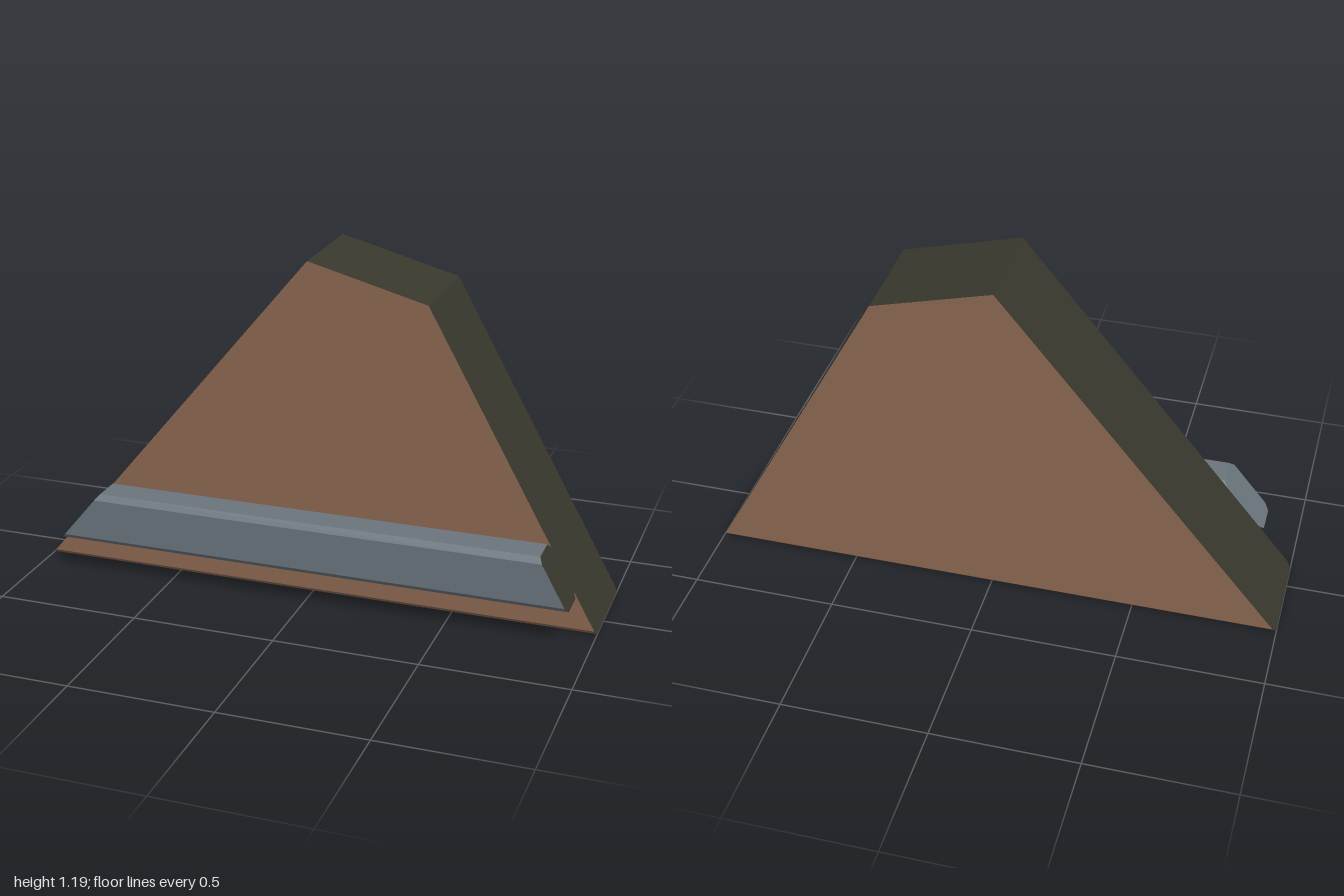
import * as THREE from 'three';

// Sloping cut lines that trim every part at its two ends
const leftCut = (y) => -1 + y * 0.828;
const rightCut = (y) => 1 - y * 0.556;

// Sweeps a cross-section along x between the two cuts.
// Each section point is [z, y at left, y at right, material of the strip that starts here].
function cutBeam(section, leftMat, rightMat) {
  const left = section.map(([z, y]) => [leftCut(y), y, z]);
  const right = section.map(([z, , y]) => [rightCut(y), y, z]);
  const positions = [];
  const geometry = new THREE.BufferGeometry();
  const addFace = (corners, material) => {
    const start = positions.length / 3;
    for (let i = 1; i < corners.length - 1; i++) {
      positions.push(...corners[0], ...corners[i], ...corners[i + 1]);
    }
    geometry.addGroup(start, positions.length / 3 - start, material);
  };
  section.forEach((point, i) => {
    const j = (i + 1) % section.length;
    addFace([left[i], left[j], right[j], right[i]], point[3]);
  });
  addFace([...left].reverse(), leftMat);
  addFace(right, rightMat);
  geometry.setAttribute('position', new THREE.Float32BufferAttribute(positions, 3));
  geometry.computeVertexNormals();
  return geometry;
}

export function createModel() {
  const brown = new THREE.MeshStandardMaterial({ name: 'brown panel', color: 0x8a6750 });
  const steel = new THREE.MeshStandardMaterial({ name: 'blue grey trim', color: 0x6a747c });
  const dark = new THREE.MeshStandardMaterial({ name: 'dark broken edge', color: 0x38382d });
  const materials = [brown, steel, dark];
  const BROWN = 0, STEEL = 1, DARK = 2;
  const model = new THREE.Group();
  model.name = 'wallFragment';

  // Thick wall slab with bevelled lower edges and a slanted top
  const front = 0.115, back = -0.25, bevel = 0.015;
  const slab = new THREE.Mesh(cutBeam([
    [front - bevel, 0, 0, DARK],
    [back + bevel, 0, 0, BROWN],
    [back, bevel, bevel, BROWN],
    [back, 1.19, 1.08, DARK],
    [front, 1.19, 1.08, BROWN],
    [front, bevel, bevel, BROWN],
  ], DARK, DARK), materials);
  slab.name = 'wallSlab';
  model.add(slab);

  // Bevelled trim rail across the front
  const z0 = front, z1 = 0.255, y0 = 0.132, y1 = 0.315, c = 0.019;
  const railSection = [
    [z1 - c, y0], [z0 + c, y0], [z0, y0 + c], [z0, y1 - c],
    [z0 + c, y1], [z1 - c, y1], [z1, y1 - c], [z1, y0 + c],
  ].map(([z, y]) => [z, y, y, STEEL]);
  const rail = new THREE.Mesh(cutBeam(railSection, STEEL, DARK), materials);
  rail.name = 'trimRail';
  model.add(rail);

  return model;
}
